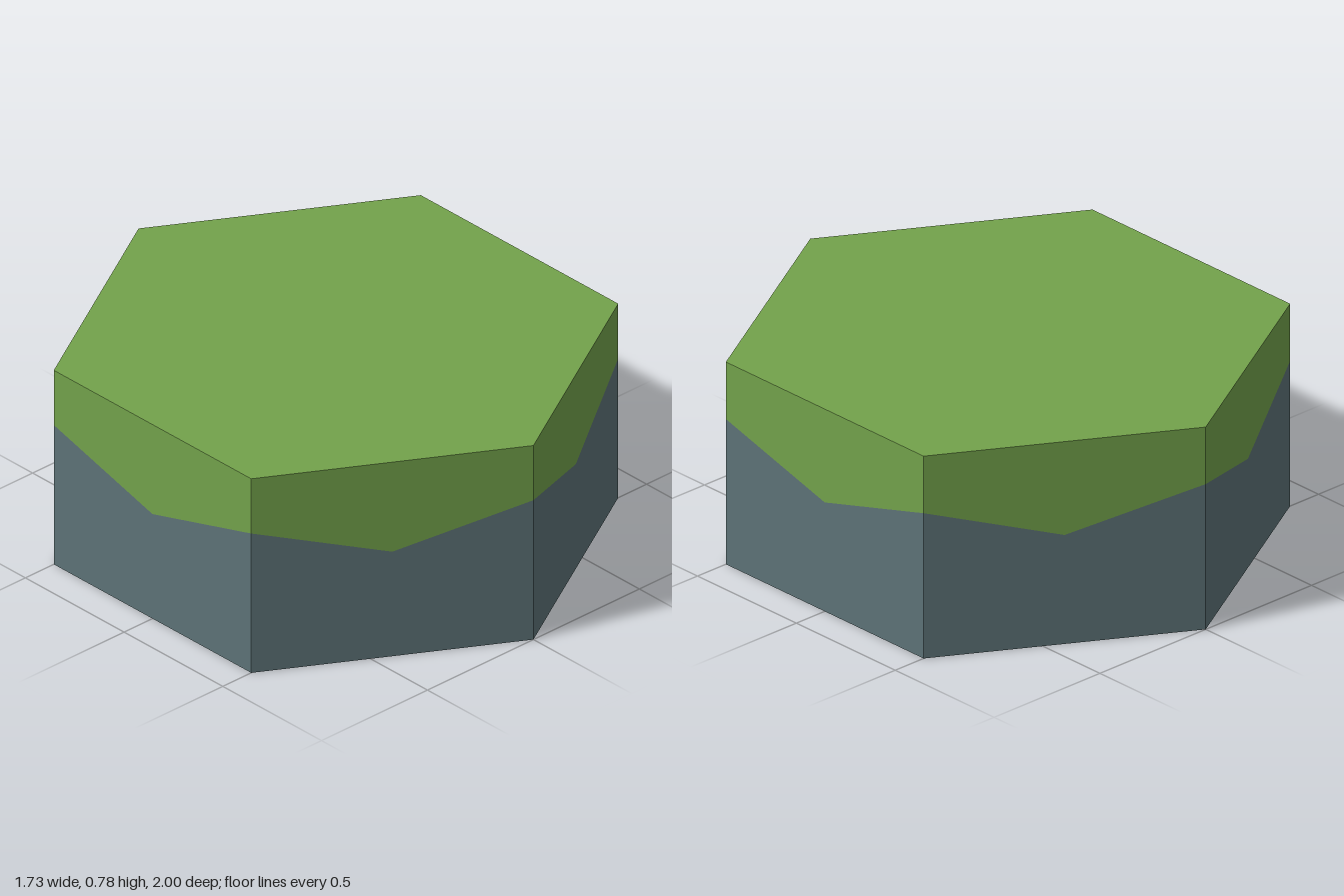
import * as THREE from 'three';

const HEIGHT = 0.78, EDGE_Y = 0.56, DIP_Y = 0.42;
const APOTHEM = Math.sqrt(3) / 2;

export function createModel() {
  const grass = new THREE.MeshStandardMaterial({ color: 0x73a24b });
  grass.name = 'grass green';
  const stone = new THREE.MeshStandardMaterial({ color: 0x5d7377 });
  stone.name = 'slate grey';

  const tile = new THREE.Group();
  tile.name = 'hexTile';

  const add = (parent, name, geometry, material) => {
    const mesh = new THREE.Mesh(geometry, material);
    mesh.name = name;
    parent.add(mesh);
    return mesh;
  };
  const panel = (points) =>
    new THREE.ShapeGeometry(new THREE.Shape(points.map(([x, y]) => new THREE.Vector2(x, y))));

  // Hexagonal caps with a corner pointing to the front
  const hexagon = () => new THREE.CircleGeometry(1, 6, Math.PI / 2);
  add(tile, 'grassTop', hexagon().rotateX(-Math.PI / 2).translate(0, HEIGHT, 0), grass);
  add(tile, 'stoneBottom', hexagon().rotateX(Math.PI / 2), stone);

  // Six walls, each split by a grass edge that dips in the middle
  const stoneWall = panel([[-0.5, 0], [0.5, 0], [0.5, EDGE_Y], [0, DIP_Y], [-0.5, EDGE_Y]]);
  const grassWall = panel([[-0.5, EDGE_Y], [0, DIP_Y], [0.5, EDGE_Y], [0.5, HEIGHT], [-0.5, HEIGHT]]);
  for (let i = 0; i < 6; i++) {
    const side = new THREE.Group();
    side.name = `wall${i + 1}`;
    side.rotation.y = Math.PI / 6 + (i * Math.PI) / 3;
    add(side, 'stoneWall', stoneWall, stone).position.z = APOTHEM;
    add(side, 'grassFringe', grassWall, grass).position.z = APOTHEM;
    tile.add(side);
  }
  return tile;
}
